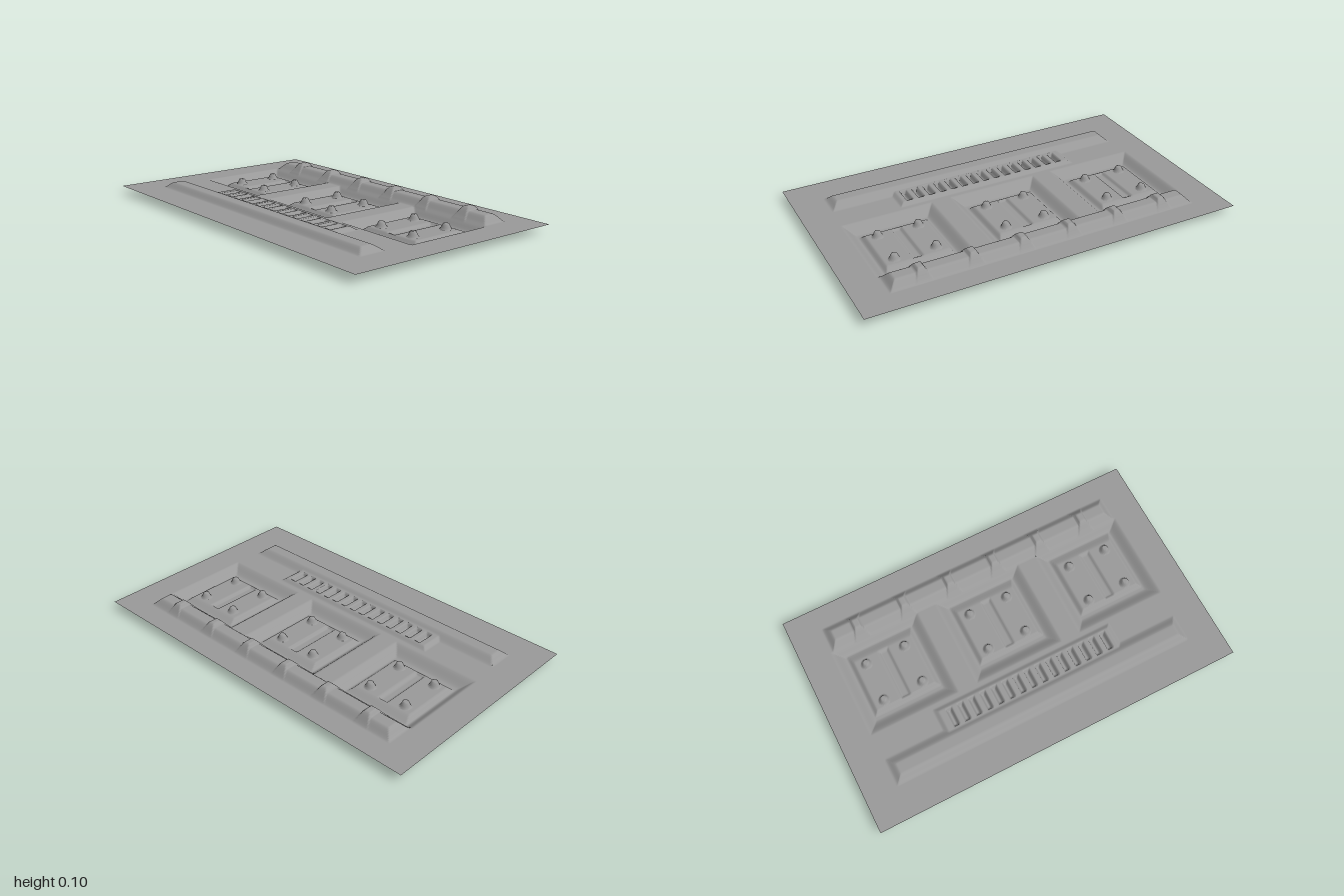
import * as THREE from 'three';

const BASE = 0.04;
const clamp01 = (t) => Math.min(1, Math.max(0, t));
const soften = (t) => 0.5 * t + 0.5 * t * t * (3 - 2 * t);

// 0..1 mask of a pressed rectangle; r = ramp widths [left, right, back, front]
function press(x, z, x0, x1, z0, z1, r) {
  return soften(clamp01(Math.min((x - x0) / r[0], (x1 - x) / r[1], (z - z0) / r[2], (z1 - z) / r[3])));
}

const POCKETS = [-0.595, 0, 0.595];
const CLAMPS = [-0.66, -0.395, -0.13, 0.13, 0.395, 0.66];

// Back rail with six raised clamps
function backRail(x, z) {
  let h = 0.038 * press(x, z, -0.83, 0.83, -0.485, -0.342, [0.04, 0.04, 0.045, 0.045]);
  for (const c of CLAMPS) {
    h = Math.max(h, 0.056 * press(x, z, c - 0.045, c + 0.045, -0.485, -0.338, [0.03, 0.03, 0.05, 0.055]));
  }
  return h;
}

// Sunken pocket holding a raised plate with a centre groove and four bolts
function pocket(x, z, c) {
  const u = x - c;
  let h = -BASE * press(u, z, -0.245, 0.245, -0.345, 0.145, [0.055, 0.055, 0.045, 0.065]);
  h += 0.02 * press(u, z, -0.185, 0.185, -0.305, 0.06, [0.025, 0.025, 0.055, 0.025]);
  h -= 0.012 * press(u, z, -0.03, 0.03, -0.25, 0.04, [0.014, 0.014, 0.014, 0.014]);
  const d = Math.hypot(Math.abs(u) - 0.108, Math.abs(z + 0.105) - 0.108);
  return h + 0.03 * soften(clamp01((0.028 - d) / 0.014));
}

// Low strip cut by fifteen slots
function ventStrip(x, z) {
  let h = 0.015 * press(x, z, -0.51, 0.51, 0.17, 0.4, [0.025, 0.025, 0.025, 0.03]);
  for (let i = -7; i <= 7; i++) {
    const c = i * 0.063 + 0.005;
    h -= 0.027 * press(x, z, c - 0.018, c + 0.018, 0.2, 0.302, [0.012, 0.012, 0.012, 0.012]);
  }
  return h;
}

function frontRail(x, z) {
  return 0.03 * press(x, z, -0.83, 0.83, 0.29, 0.437, [0.04, 0.04, 0.05, 0.04]);
}

function height(x, z) {
  let h = backRail(x, z);
  for (const c of POCKETS) h += pocket(x, z, c);
  const vent = z > 0.15 ? ventStrip(x, z) : 0;
  const rail = frontRail(x, z);
  return BASE + h + (vent < 0 ? vent : Math.max(vent, rail));
}

// Grid patch lifted by the height rule, with smooth normals across patch borders
function reliefPatch(x0, x1, z0, z1, step) {
  const w = x1 - x0, d = z1 - z0;
  const geo = new THREE.PlaneGeometry(w, d, Math.ceil(w / step), Math.ceil(d / step));
  geo.rotateX(-Math.PI / 2).translate((x0 + x1) / 2, 0, (z0 + z1) / 2);
  const pos = geo.attributes.position, nor = geo.attributes.normal;
  const n = new THREE.Vector3(), e = 0.005;
  for (let i = 0; i < pos.count; i++) {
    const x = pos.getX(i), z = pos.getZ(i);
    pos.setY(i, height(x, z));
    n.set(height(x - e, z) - height(x + e, z), 2 * e, height(x, z - e) - height(x, z + e)).normalize();
    nor.setXYZ(i, n.x, n.y, n.z);
  }
  return geo;
}

export function createModel() {
  const model = new THREE.Group();
  model.name = 'pressedPanel';
  const grey = new THREE.MeshStandardMaterial({ color: 0x999999, side: THREE.DoubleSide });
  grey.name = 'panelGrey';
  const add = (name, geo) => {
    const mesh = new THREE.Mesh(geo, grey);
    mesh.name = name;
    model.add(mesh);
  };

  // Flat border around the relief
  const border = new THREE.Shape([[-1, -0.607], [1, -0.607], [1, 0.607], [-1, 0.607]].map((p) => new THREE.Vector2(...p)));
  border.holes.push(new THREE.Path([[-0.85, -0.45], [-0.85, 0.49], [0.85, 0.49], [0.85, -0.45]].map((p) => new THREE.Vector2(...p))));
  add('flatBorder', new THREE.ShapeGeometry(border).rotateX(-Math.PI / 2).translate(0, BASE, 0));

  // Relief rows, back to front
  add('backRail', reliefPatch(-0.85, 0.85, -0.49, -0.342, 0.006));
  add('rightPocket', reliefPatch(-0.85, -0.3, -0.342, 0.15, 0.006));
  add('middlePocket', reliefPatch(-0.3, 0.3, -0.342, 0.15, 0.006));
  add('leftPocket', reliefPatch(0.3, 0.85, -0.342, 0.15, 0.006));
  add('ventStrip', reliefPatch(-0.85, 0.85, 0.15, 0.302, 0.005));
  add('frontRail', reliefPatch(-0.85, 0.85, 0.302, 0.45, 0.007));
  return model;
}
